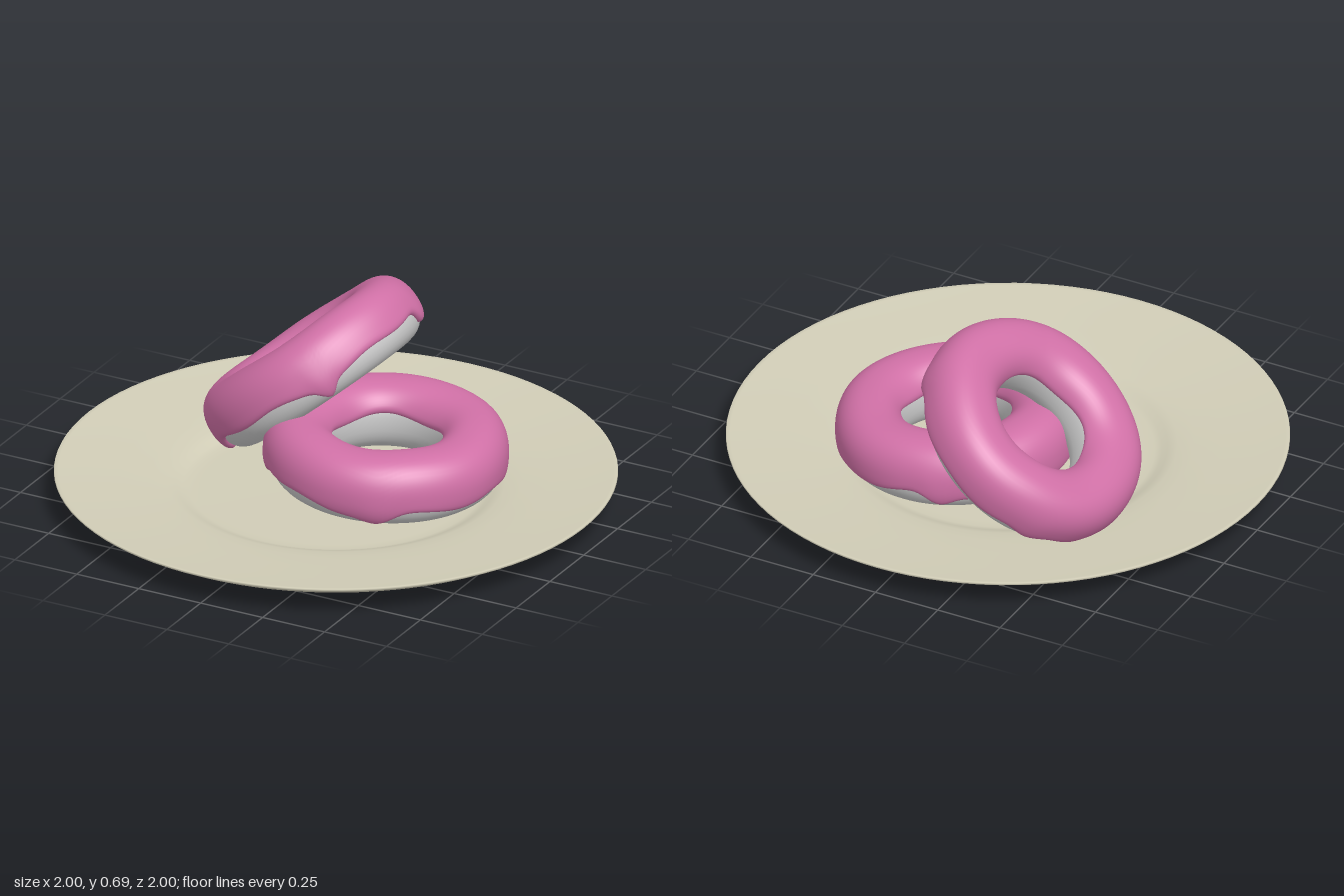
import * as THREE from 'three';

const plateMat = new THREE.MeshStandardMaterial({ name: 'cream ceramic', color: 0xd0ccb6 });
const doughMat = new THREE.MeshStandardMaterial({ name: 'pale dough', color: 0xcacaca });
const icingMat = new THREE.MeshStandardMaterial({ name: 'pink icing', color: 0xd070a6 });

const RING = 0.31;          // radius of the doughnut's centre line
const AROUND = 160;         // segments around the ring
const ACROSS = 36;          // segments across the section

// Smooth surface over a grid that closes around the ring
function ringSurface(point) {
  const positions = [], indices = [], row = ACROSS + 1;
  for (let i = 0; i < AROUND; i++) {
    const phi = (i / AROUND) * Math.PI * 2;
    for (let j = 0; j <= ACROSS; j++) {
      const [r, y] = point(phi, j / ACROSS);
      positions.push(r * Math.cos(phi), y, r * Math.sin(phi));
      if (j === ACROSS) continue;
      const a = i * row + j, b = ((i + 1) % AROUND) * row + j;
      indices.push(a, a + 1, b, a + 1, b + 1, b);
    }
  }
  const geo = new THREE.BufferGeometry();
  geo.setAttribute('position', new THREE.Float32BufferAttribute(positions, 3));
  geo.setIndex(indices);
  geo.computeVertexNormals();
  return geo;
}

// Slightly squared oval section; grow is the offset from the dough
function section(angle, grow) {
  const soft = (v) => Math.sign(v) * Math.pow(Math.abs(v), 0.88);
  return [
    RING + (0.111 + grow) * soft(Math.cos(angle)),
    (0.121 + grow) * soft(Math.sin(angle)),
  ];
}

// drips: list of [azimuth, width, extra angle], all in radians
function makeDoughnut(name, drips, phase) {
  const group = new THREE.Group();
  group.name = name;

  const dough = new THREE.Mesh(
    ringSurface((phi, t) => section(t * Math.PI * 2, 0)), doughMat);
  dough.name = 'dough';

  const dripAt = (phi) => drips.reduce((sum, [at, width, size]) => {
    const d = Math.atan2(Math.sin(phi - at), Math.cos(phi - at));
    return sum + size * Math.exp(-Math.pow(d / width, 2));
  }, 0);

  const icing = new THREE.Mesh(ringSurface((phi, u) => {
    const t = 0.5 - 0.5 * Math.cos(u * Math.PI);
    const drip = dripAt(phi);
    const outer = -0.38 - drip
      + 0.12 * Math.sin(3 * phi + phase) + 0.08 * Math.sin(7 * phi + 2 * phase);
    const inner = 2.9 + 0.08 * Math.sin(4 * phi + phase);
    const angle = outer + (inner - outer) * t;
    // rounded lip tucked into the dough at both edges
    const edge = Math.min(1, Math.min(t, 1 - t) / 0.06);
    const lip = Math.sqrt(1 - (1 - edge) * (1 - edge));
    const lump = 0.0025 * Math.sin(5 * phi + phase) * Math.sin(angle * 2 + 1)
      + 0.012 * drip * Math.exp(-Math.pow((t - 0.1) / 0.14, 2));
    return section(angle, -0.004 + lip * (0.018 + lump));
  }), icingMat);
  icing.name = 'icing';

  group.add(dough, icing);
  return group;
}

function makePlate() {
  const plate = new THREE.Group();
  plate.name = 'plate';
  const addLathe = (name, points) => {
    const mesh = new THREE.Mesh(
      new THREE.LatheGeometry(points.map(([r, y]) => new THREE.Vector2(r, y)), 96), plateMat);
    mesh.name = name;
    plate.add(mesh);
  };
  // underside, from the centre out to the rim
  addLathe('plateBase', [[0, 0.006], [0.69, 0.006]]);
  addLathe('plateFoot', [[0.69, 0.006], [0.7, 0], [0.72, 0], [0.735, 0.012]]);
  addLathe('plateUnderside', [[0.735, 0.012], [0.81, 0.026], [0.88, 0.045], [0.94, 0.07], [0.995, 0.1]]);
  addLathe('plateRim', [[0.995, 0.1], [1, 0.105], [0.998, 0.11], [0.985, 0.109]]);
  // upper side, from the rim down to the well
  addLathe('plateTop', [[0.985, 0.109], [0.88, 0.098], [0.76, 0.088], [0.66, 0.078],
    [0.6, 0.07], [0.565, 0.06], [0.545, 0.047], [0.52, 0.042], [0.48, 0.04], [0, 0.04]]);
  return plate;
}

export function createModel() {
  const model = new THREE.Group();
  model.name = 'doughnutsOnPlate';

  const flat = makeDoughnut('flatDoughnut',
    [[1.15, 0.16, 0.35], [2.6, 0.12, 0.45], [0.25, 0.3, 0.2], [-1.9, 0.14, 0.4]], 0.6);
  flat.position.set(0.14, 0.168, -0.12);
  flat.rotation.z = -0.04;

  const leaning = makeDoughnut('leaningDoughnut',
    [[0.95, 0.09, 0.5], [-0.42, 0.14, 0.5], [2.5, 0.14, 0.35], [-2.2, 0.16, 0.3]], 2.2);
  leaning.position.set(-0.245, 0.352, -0.287);
  leaning.rotation.z = 0.69;

  model.add(makePlate(), flat, leaning);
  return model;
}
